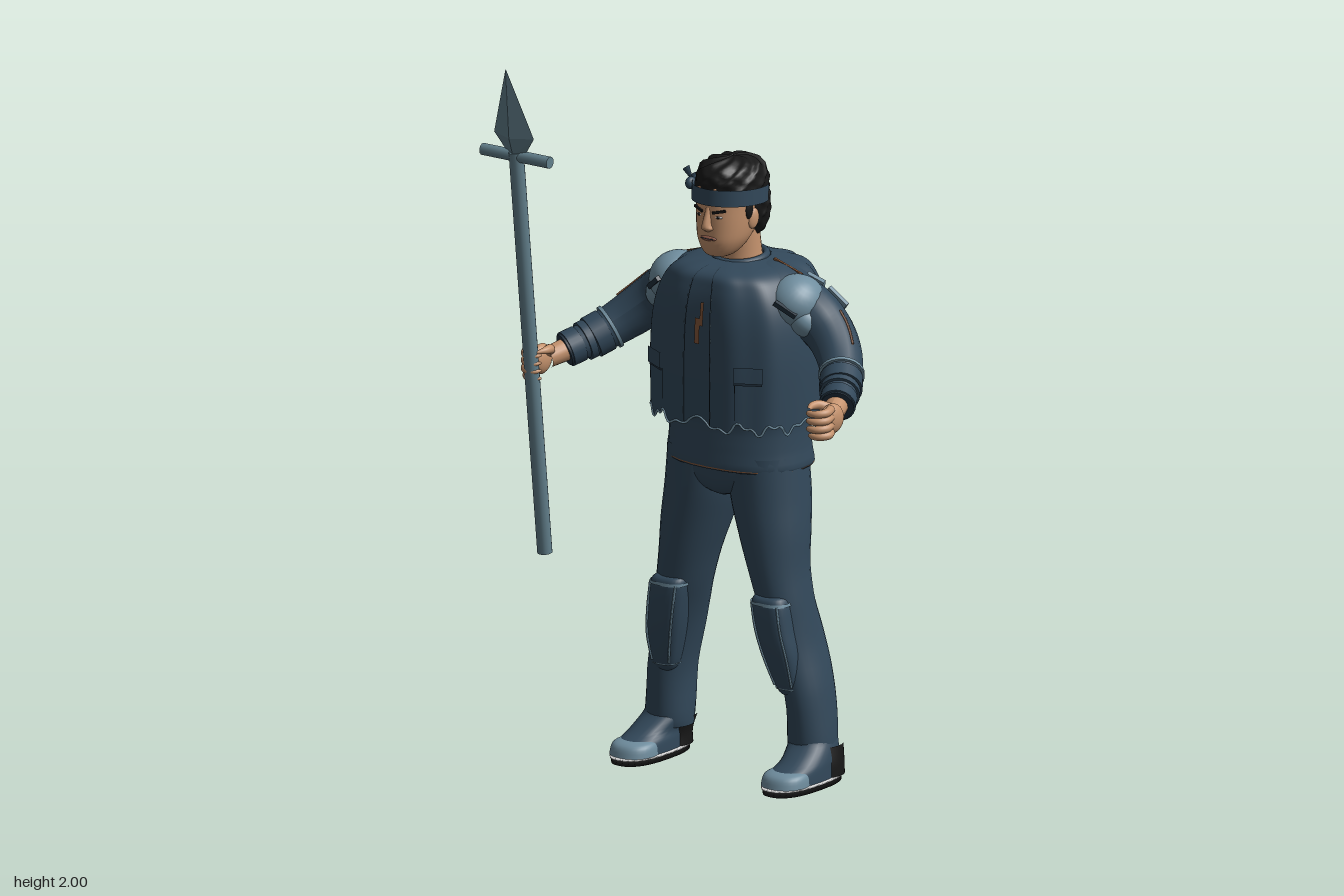
import * as THREE from 'three';
import { ParametricGeometry } from 'three/addons/geometries/ParametricGeometry.js';

const mat = (name, color, side = THREE.FrontSide) => {
  const m = new THREE.MeshStandardMaterial({ color, side });
  m.name = name;
  return m;
};
const V = (x, y, z) => new THREE.Vector3(x, y, z);

// Smoothly interpolated cross-section [x, y, z, radiusX, radiusZ] at t in 0..1
function section(st, t) {
  const f = Math.min(Math.max(t, 0), 1) * (st.length - 1);
  const i = Math.min(Math.floor(f), st.length - 2), u = f - i;
  const at = k => st[Math.min(Math.max(k, 0), st.length - 1)];
  return st[i].map((p, k) => {
    const q = st[i + 1][k], m0 = (q - at(i - 1)[k]) / 2, m1 = (at(i + 2)[k] - p) / 2;
    const v = p + u * (m0 + u * (3 * (q - p) - 2 * m0 - m1 + u * (2 * (p - q) + m0 + m1)));
    return k > 2 ? Math.max(v, 0.001) : v;
  });
}

// Point on the skin of stacked superellipse sections
function skinPoint(st, a, t, e = 2, warp, off = 0) {
  const [x, y, z, rx, rz] = section(st, t);
  const pw = c => Math.sign(c) * Math.abs(c) ** (2 / e);
  const [k, dy] = warp ? warp(a, t) : [1, 0];
  return V(x + (rx * k + off) * pw(Math.cos(a)), y + dy, z + (rz * k + off) * pw(Math.sin(a)));
}

// Closed tube of sections, bottom to top
function loft(st, { e = 2, warp, n = 28, rows = (st.length - 1) * 4 } = {}) {
  const pos = [], idx = [];
  for (let i = 0; i <= rows; i++) for (let j = 0; j < n; j++) {
    pos.push(...skinPoint(st, (j / n) * Math.PI * 2, i / rows, e, warp).toArray());
    if (i === rows) continue;
    const a = i * n + j, c = i * n + (j + 1) % n;
    idx.push(a, a + n, c, c, a + n, c + n);
  }
  const g = new THREE.BufferGeometry();
  g.setAttribute('position', new THREE.Float32BufferAttribute(pos, 3));
  g.setIndex(idx);
  g.computeVertexNormals();
  return g;
}

// Tube whose radius follows a list of values
function limb(curve, radii, n = 32) {
  const g = new THREE.TubeGeometry(curve, n, 1, 18), p = g.attributes.position, v = V(0, 0, 0);
  for (let i = 0; i < p.count; i++) {
    const t = Math.floor(i / 19) / n, f = t * (radii.length - 1), k = Math.min(Math.floor(f), radii.length - 2);
    const c = curve.getPointAt(t);
    v.fromBufferAttribute(p, i).sub(c).multiplyScalar(THREE.MathUtils.lerp(radii[k], radii[k + 1], f - k)).add(c);
    p.setXYZ(i, v.x, v.y, v.z);
  }
  g.computeVertexNormals();
  return g;
}

export function createModel() {
  const navy = mat('navy cloth', 0x32485a, THREE.DoubleSide), dark = mat('dark navy trim', 0x22313e, THREE.DoubleSide);
  const pale = mat('pale steel blue', 0x6f8d9e, THREE.DoubleSide), steel = mat('spear steel', 0x627f8b);
  const skin = mat('skin', 0xc4926d), lip = mat('lip', 0x96604f), black = mat('black', 0x171717);
  const white = mat('white', 0xe6e6e6), rust = mat('rust stitching', 0x85573a, THREE.DoubleSide);
  const model = new THREE.Group(), body = new THREE.Group();
  model.name = 'spearBearer';
  body.name = 'body';
  body.position.x = 0.035;
  model.add(body);
  const add = (name, geo, m, p = [0, 0, 0], r = [0, 0, 0], s = [1, 1, 1], parent = body) => {
    const o = new THREE.Mesh(geo, m);
    o.name = name;
    o.position.set(...p); o.rotation.set(...r); o.scale.set(...s);
    parent.add(o);
    return o;
  };
  const ball = new THREE.SphereGeometry(1, 24, 16), box = new THREE.BoxGeometry(1, 1, 1);
  const cord = (name, pts, r, m, closed = false) => add(name, new THREE.TubeGeometry(new THREE.CatmullRomCurve3(pts, closed), pts.length * 2 + 8, r, 5, closed), m);

  // Hips and lower tunic
  add('hips', loft([[0, .79, -.1, .015, .07], [0, .81, -.1, .1, .105], [0, .86, -.1, .207, .12], [0, .95, -.1, .205, .12]]), navy);
  const tunic = [[0, .89, -.11, .16, .11], [0, .88, -.112, .213, .153], [0, .94, -.11, .211, .147], [0, 1.02, -.11, .212, .142], [0, 1.07, -.11, .235, .19]];
  add('tunicSkirt', loft(tunic, { e: 2.3 }), navy);
  add('tunicStitch', loft([[0, .883, -.112, .2145, .1545], [0, .8865, -.112, .2145, .1545]], { e: 2.3, rows: 1 }), rust);

  // Vest with rippled back and ragged hem
  const vest = [[0, 1.02, -.112, .243, .2], [0, 1.2, -.112, .245, .2], [0, 1.32, -.112, .232, .195], [0, 1.4, -.112, .2, .18], [0, 1.44, -.112, .155, .156], [0, 1.458, -.112, .075, .08]];
  const ripple = (a, t) => {
    const back = Math.max(0, -Math.sin(a)), front = Math.max(0, Math.sin(a));
    const hem = Math.max(0, 1 - t * 9);
    return [1 + .035 * back * Math.cos(a * 14) + .018 * front * Math.cos(a * 10), hem * (.012 * Math.sin(a * 13) + .008 * Math.sin(a * 29))];
  };
  add('vest', loft(vest, { e: 2.6, warp: ripple, n: 120, rows: 36 }), navy);
  const hem = [];
  for (let i = 0; i < 120; i++) hem.push(skinPoint(vest, i / 60 * Math.PI, 0, 2.6, ripple));
  cord('hemTrim', hem, .0035, pale, true);
  const patch = (name, m, a0, a1, t0, t1, off = .004) => add(name, new ParametricGeometry(
    (u, v, o) => o.copy(skinPoint(vest, a0 + (a1 - a0) * u, t0 + (t1 - t0) * v, 2.6, ripple, off)), 8, 16), m);
  const F = Math.PI / 2;
  patch('zip', black, F - .006, F + .006, .01, .93, .005);
  patch('chestTear', rust, F - .035, F - .01, .36, .5, .006);
  patch('chestTearLower', rust, F - .012, F + .012, .27, .4, .007);
  for (const s of [1, -1]) {
    patch('placketSeam', dark, F + s * .1, F + s * .11, .01, .9, .004);
    for (let i = 0; i < 9; i++) patch('placketStitch', pale, F + s * .112, F + s * .12, .04 + i * .08, .062 + i * .08, .005);
    patch('pocketFlap', navy, F + s * .4, F + s * .78, .15, .2, .012);
    patch('pocketSeam', dark, F + s * .4, F + s * .78, .143, .15, .008);
    patch('pocketSide', dark, F + s * .4, F + s * .41, .03, .15, .004);
    add('shoulderYoke', ball, navy, [s * .14, 1.385, -.115], [0, 0, -s * .35], [.115, .062, .1]);
    add('shoulderStitch', box, rust, [s * .15, 1.443, -.128], [0, 0, -s * .3], [.1, .008, .007]);
  }
  add('collar', new THREE.TorusGeometry(.07, .01, 10, 36), navy, [0, 1.456, -.112], [F + .08, 0, 0], [1, 1.05, 1.2]);

  // Head and face
  add('neck', loft([[0, 1.4, -.115, .07, .07], [0, 1.46, -.112, .06, .06], [0, 1.56, -.1, .056, .058]]), skin);
  add('head', loft([[0, 1.477, -.005, .006, .006], [0, 1.486, -.017, .04, .042], [0, 1.52, -.033, .065, .072], [0, 1.56, -.046, .076, .087],
    [0, 1.62, -.057, .081, .098], [0, 1.68, -.065, .082, .1], [0, 1.725, -.07, .05, .06]], { e: 2.2 }), skin);
  add('nose', loft([[0, 1.556, .036, .006, .006], [0, 1.565, .04, .018, .017], [0, 1.58, .042, .013, .017], [0, 1.625, .034, .008, .008]], { n: 14 }), skin);
  add('mouth', ball, lip, [0, 1.537, .036], [0, 0, 0], [.027, .008, .009]);
  add('mouthLine', box, dark, [0, 1.537, .044], [0, 0, 0], [.04, .002, .003]);
  for (const s of [1, -1]) {
    add('eye', ball, white, [s * .032, 1.6, .032], [0, s * .3, 0], [.012, .004, .005]);
    add('iris', ball, black, [s * .032, 1.6, .036], [0, 0, 0], [.005, .004, .003]);
    add('eyebrow', box, black, [s * .034, 1.616, .034], [0, s * .35, s * .2], [.038, .007, .008]);
    add('ear', ball, skin, [s * .08, 1.585, -.062], [-.2, s * -.3, 0], [.009, .029, .018]);
    add('sideburn', ball, black, [s * .076, 1.615, -.045], [0, 0, 0], [.01, .03, .016]);
  }

  // Tousled hair and headband
  const tousle = (a, t) => {
    const k = Math.min(1, (1 - t) * 4);
    return [1 + k * (.018 * Math.sin(a * 11 + t * 47) + .018 * Math.sin(a * 7 - t * 61)), .005 * k * Math.sin(a * 9 + t * 30)];
  };
  add('hair', loft([[0, 1.52, -.125, .03, .03], [0, 1.535, -.122, .062, .05], [0, 1.575, -.112, .083, .07], [0, 1.62, -.104, .09, .08], [0, 1.655, -.076, .094, .106],
    [0, 1.695, -.072, .094, .11], [0, 1.728, -.072, .078, .092], [0, 1.745, -.075, .042, .05], [0, 1.749, -.075, .001, .001]], { warp: tousle, n: 64, rows: 48 }), black);
  add('headband', new THREE.CylinderGeometry(1, 1, .046, 40, 1, true, -2, 4), navy, [0, 1.652, -.066], [-.04, 0, 0], [.103, 1, .116]);
  add('headbandKnot', ball, navy, [-.103, 1.664, -.02], [0, 0, 0], [.014, .018, .018]);
  for (const k of [0, 1]) add('headbandEnd', new THREE.ConeGeometry(.014, .05, 4), navy, [-.113, 1.682 - k * .02, -.03 - k * .02], [k * -.9, 0, .6 - k * .3 + Math.PI], [1, 1, .5]);

  for (const s of [1, -1]) {
    // Leg
    add('trouserLeg', loft([[s * .245, .08, -.115, .062, .066], [s * .245, .1, -.115, .067, .072], [s * .235, .25, -.115, .061, .085], [s * .2, .4, -.105, .063, .093], [s * .175, .5, -.088, .073, .09],
      [s * .152, .6, -.083, .083, .094], [s * .132, .7, -.09, .099, .105], [s * .112, .8, -.1, .11, .117], [s * .1, .92, -.1, .11, .12]],
    { warp: (a, t) => [1 + .015 * Math.sin(t * 48 + Math.sin(a) * 2) * Math.max(0, 1 - t * 1.6), 0] }), navy);
    const pad = [[s * .215, .25, -.06, .02, .02], [s * .212, .27, -.056, .034, .033], [s * .2, .36, -.041, .05, .047], [s * .185, .44, -.028, .054, .048], [s * .173, .52, -.022, .054, .042], [s * .171, .537, -.03, .035, .025]];
    add('kneePad', loft(pad, { e: 2.8 }), navy);
    for (const [t0, t1] of [[.77, .8], [.2, .215]]) add('kneePadTrim', loft([t0, t1].map(t => section(pad, t).map((v, k) => k > 2 ? v + .003 : v)), { e: 2.8, rows: 1 }), pale);
    for (const d of [-1, 1]) cord('kneePadEdge', [.23, .4, .6, .78].map(t => skinPoint(pad, F + d * .75, t, 2.8, null, .002)), .0035, pale);

    // Shoe
    const x = s * .26;
    const slab = (y0, y1, r) => loft([[x, y0, -.045, .001, .001], [x, y0, -.045, r, r + .077], [x, y1, -.045, r, r + .077], [x, y1, -.045, .001, .001]], { e: 2.5, rows: 3 });
    add('sole', slab(0, .015, .067), black);
    add('soleRim', slab(.015, .021, .071), white);
    add('shoeUpper', loft([[x, .02, -.045, .064, .138], [x, .05, -.05, .063, .128], [x, .075, -.08, .06, .1], [x - s * .01, .11, -.11, .062, .074], [x - s * .012, .13, -.114, .058, .064]], { e: 2.3 }), navy);
    add('toeCap', loft([[x, .021, .03, .066, .066], [x, .048, .026, .062, .06], [x, .06, .015, .045, .045], [x, .064, .01, .002, .002]], { e: 2.2 }), pale);
    add('heelCounter', loft([[x, .021, -.13, .067, .056], [x, .06, -.13, .066, .055], [x - s * .01, .105, -.132, .069, .06]], { e: 2.4 }), black);
    for (let i = 0; i < 3; i++) add('lace', box, pale, [x, .07 + i * .014, -.01 - i * .02], [.65, 0, 0], [.06, .006, .008]);

    // Arm with cuffs
    const arm = new THREE.CatmullRomCurve3([V(s * .14, 1.365, -.12), V(s * .23, 1.33, -.126), V(s * .30, 1.28, -.12), V(s * .365, 1.225, -.08), V(s * .42, 1.178, -.01), V(s * .467, 1.145, .07)]);
    add('sleeve', limb(arm, [.07, .077, .074, .068, .063, .057, .05, .043]), navy);
    const cuff = (name, t, r, w, m) => add(name, new THREE.CylinderGeometry(r, r, w, 24, 1), m, arm.getPointAt(t).toArray())
      .quaternion.setFromUnitVectors(V(0, 1, 0), arm.getTangentAt(t));
    cuff('elbowBand', .7, .064, .01, pale);
    cuff('forearmGuard', .78, .06, .045, navy);
    cuff('forearmBand', .86, .056, .02, navy);
    cuff('wristCuff', .95, .051, .04, navy);
    cuff('wristEdge', .995, .046, .008, dark);
    cord('sleeveStitch', [.34, .42, .5, .58].map((t, i) => arm.getPointAt(t).add(V(s * .62, .78, -.05).multiplyScalar(.073 - i * .0025))), .0035, rust);

    // Shoulder armour
    add('shoulderPad', ball, pale, [s * .205, 1.362, -.095], [0, 0, -s * .65], [.077, .074, .085]);
    add('shoulderPadLower', ball, pale, [s * .243, 1.318, -.085], [0, s * .3, -s * .72], [.055, .045, .052]);
    add('shoulderStrap', box, dark, [s * .225, 1.36, -.014], [.3, s * .3, -s * .7], [.07, .014, .012]);
    add('rearArmPlate', box, pale, [s * .262, 1.35, -.192], [.25, 0, -s * .7], [.07, .055, .012]);
    add('rearArmPlateSmall', box, pale, [s * .2, 1.395, -.187], [.4, 0, -s * .4], [.055, .04, .012]);

    // Curled hand
    add('wrist', limb(new THREE.LineCurve3(V(s * .457, 1.152, .05), V(s * .487, 1.132, .125)), [.033, .029], 4), skin);
    add('palm', ball, skin, [s * .498, 1.13, .138], [0, -s * .1, 0], [.023, .043, .045]);
    for (let i = 0; i < 4; i++) {
      const y = 1.162 - i * .022, d = i === 3 ? -.008 : 0;
      add('finger', limb(new THREE.CatmullRomCurve3([V(s * .506, y, .15), V(s * .515, y - .002, .185 + d), V(s * .497, y - .004, .207 + d), V(s * .47, y - .005, .204 + d), V(s * .462, y - .005, .185)]), [.012, .012, .011, .009, .003], 16), skin);
    }
    add('thumb', limb(new THREE.CatmullRomCurve3([V(s * .487, 1.15, .12), V(s * .462, 1.166, .145), V(s * .458, 1.168, .175), V(s * .468, 1.166, .2)]), [.017, .014, .011, .004], 12), skin);
  }

  // Spear, leaning slightly forward
  const spear = new THREE.Group();
  spear.name = 'spear';
  spear.position.set(-.45, .58, .138);
  spear.rotation.x = .111;
  model.add(spear);
  add('shaft', new THREE.CylinderGeometry(.021, .021, 1.18, 16), steel, [0, .59, 0], [0, 0, 0], [1, 1, 1], spear);
  add('crossbar', new THREE.CylinderGeometry(.017, .017, .23, 14), steel, [0, 1.168, 0], [0, 0, F], [1, 1, 1], spear);
  const blade = new THREE.Group();
  blade.name = 'blade';
  blade.position.y = 1.175;
  blade.rotation.x = .08;
  spear.add(blade);
  const facet = loft([[0, 0, 0, .03, .016], [0, .055, 0, .068, .024], [0, .255, 0, .001, .001]], { n: 4, rows: 2 }).toNonIndexed();
  facet.computeVertexNormals();
  add('bladeHead', facet, steel, [0, 0, 0], [0, 0, 0], [1, 1, 1], blade);
  return model;
}
